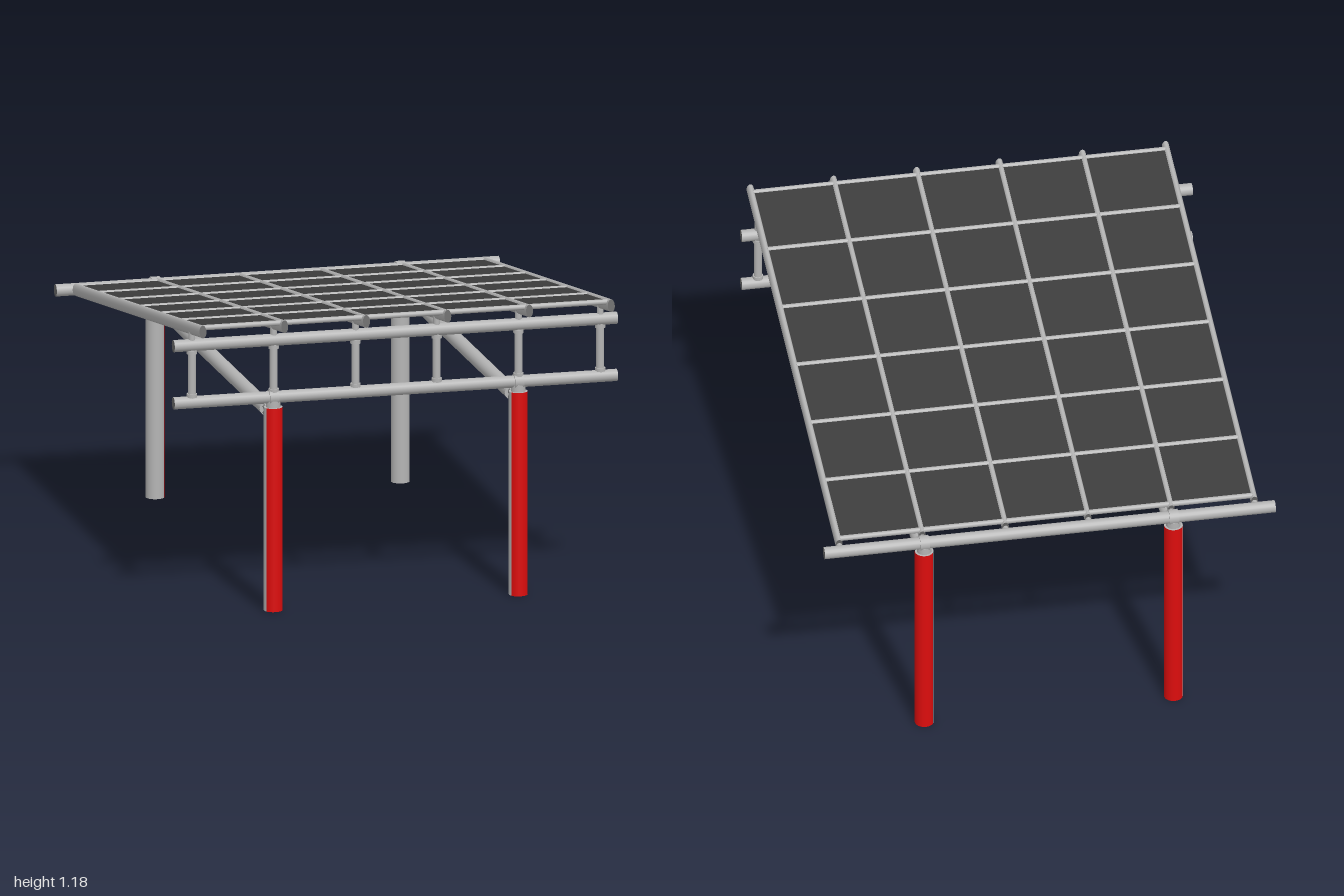
import * as THREE from 'three';

export function createModel() {
  const model = new THREE.Group();
  const mat = (name, color, side = THREE.FrontSide) => {
    const m = new THREE.MeshStandardMaterial({ color, side });
    m.name = name;
    return m;
  };
  const steel = mat('steel grey', 0xb4b4b4, THREE.DoubleSide);
  const red = mat('signal red', 0xdc0d0d, THREE.DoubleSide);
  const dark = mat('panel charcoal', 0x3c3c3c);
  const bolt = mat('bolt grey', 0x686868);

  const add = (parent, name, geo, material, x = 0, y = 0, z = 0) => {
    const mesh = new THREE.Mesh(geo, material);
    mesh.name = name;
    mesh.position.set(x, y, z);
    parent.add(mesh);
    return mesh;
  };
  // Round bar along a chosen axis, with darker end caps if asked
  const bar = (parent, name, r, len, axis, x, y, z, caps = steel) => {
    const geo = new THREE.CylinderGeometry(r, r, len, 20);
    if (axis === 'x') geo.rotateZ(Math.PI / 2);
    if (axis === 'z') geo.rotateX(Math.PI / 2);
    return add(parent, name, geo, [steel, caps, caps], x, y, z);
  };

  const legX = [-0.48, 0.485];
  const frontZ = 0.826, backZ = -0.965;
  const rafterX = [-0.8, -0.478, -0.156, 0.164, 0.486, 0.808];
  const slope = 0.1617;
  const roofY = z => 1.0007 + slope * (z - 0.033);

  // Hollow legs: red outer half, grey half turned to the inside
  const legR = 0.036, legH = 0.8;
  for (const x of legX) for (const z of [frontZ, backZ]) {
    const leg = new THREE.Group();
    leg.name = z > 0 ? 'frontLeg' : 'backLeg';
    leg.position.set(x, 0, z);
    const start = z > 0 ? THREE.MathUtils.degToRad(120) : THREE.MathUtils.degToRad(-120);
    const shell = from => new THREE.CylinderGeometry(legR, legR, legH, 16, 1, true, from, Math.PI);
    add(leg, 'greyHalf', shell(start), steel, 0, legH / 2, 0);
    add(leg, 'redHalf', shell(start + Math.PI), red, 0, legH / 2, 0);
    add(leg, 'innerTube', new THREE.CylinderGeometry(0.024, 0.024, legH, 16, 1, true), steel, 0, legH / 2, 0);
    const ring = new THREE.RingGeometry(0.024, legR, 24).rotateX(Math.PI / 2);
    add(leg, 'footRing', ring, red);
    add(leg, 'topPlate', new THREE.CircleGeometry(legR, 24).rotateX(-Math.PI / 2), steel, 0, legH, 0);
    // Saddle carrying the cross beam
    bar(leg, 'neck', 0.028, 0.03, 'y', 0, 0.812, 0);
    bar(leg, 'beamClamp', 0.029, 0.036, 'x', 0, 0.838, 0);
    model.add(leg);
  }

  // Cross beams
  bar(model, 'lowerFrontBeam', 0.0235, 1.746, 'x', 0, 0.838, frontZ, bolt);
  bar(model, 'upperFrontBeam', 0.0235, 1.746, 'x', 0, 1.063, frontZ, bolt);
  bar(model, 'backBeam', 0.0235, 1.746, 'x', 0, 0.838, backZ, bolt);

  // Ties from front leg to back leg with bolted brackets
  for (const x of legX) {
    bar(model, 'tieBeam', 0.028, 1.59, 'z', x, 0.77, -0.065);
    for (const [z, name] of [[0.76, 'frontBracket'], [-0.895, 'backBracket']]) {
      const bracket = new THREE.Group();
      bracket.name = name;
      bracket.position.set(x, 0.768, z);
      add(bracket, 'bracketBlock', new THREE.BoxGeometry(0.024, 0.042, 0.07), steel);
      for (const dy of [-0.011, 0.011]) for (const dz of [-0.016, 0.016]) {
        bar(bracket, 'bolt', 0.006, 0.036, 'x', 0, dy, dz, bolt).material = bolt;
      }
      model.add(bracket);
    }
  }

  // Short posts of the front truss and the connectors under the rafters
  for (const x of rafterX) {
    bar(model, 'trussPost', 0.0155, 0.2, 'y', x, 0.95, frontZ);
    bar(model, 'postFoot', 0.02, 0.014, 'y', x, 0.865, frontZ);
    bar(model, 'postHead', 0.02, 0.014, 'y', x, 1.036, frontZ);
    bar(model, 'rafterSupport', 0.013, 0.05, 'y', x, 1.095, frontZ);
    bar(model, 'rafterHeel', 0.011, 0.05, 'z', x, 0.842, -0.935);
  }

  // Sloping roof, rising to the front
  const roof = new THREE.Group();
  roof.name = 'roof';
  roof.position.set(0, roofY(0.033), 0.033);
  roof.rotation.x = -Math.atan(slope);
  model.add(roof);
  const stretch = Math.hypot(1, slope);
  const rowZ = [-0.91, -0.597, -0.285, 0.028, 0.34, 0.653, 0.963].map(z => (z - 0.033) * stretch);

  for (const x of rafterX) {
    const rafter = bar(roof, 'rafter', 0.0245, 1.95, 'z', x, 0, 0, bolt);
    rafter.scale.x = 0.56;
  }
  for (let i = 0; i < rafterX.length - 1; i++) {
    const x = (rafterX[i] + rafterX[i + 1]) / 2;
    const w = rafterX[i + 1] - rafterX[i] - 0.012;
    rowZ.forEach((z, j) => {
      bar(roof, 'purlin', 0.0105, w, 'x', x, 0.013, z);
      if (j === 0) return;
      const depth = z - rowZ[j - 1];
      add(roof, 'panel', new THREE.BoxGeometry(w, 0.008, depth - 0.008), dark, x, 0.013, z - depth / 2);
    });
  }
  return model;
}
